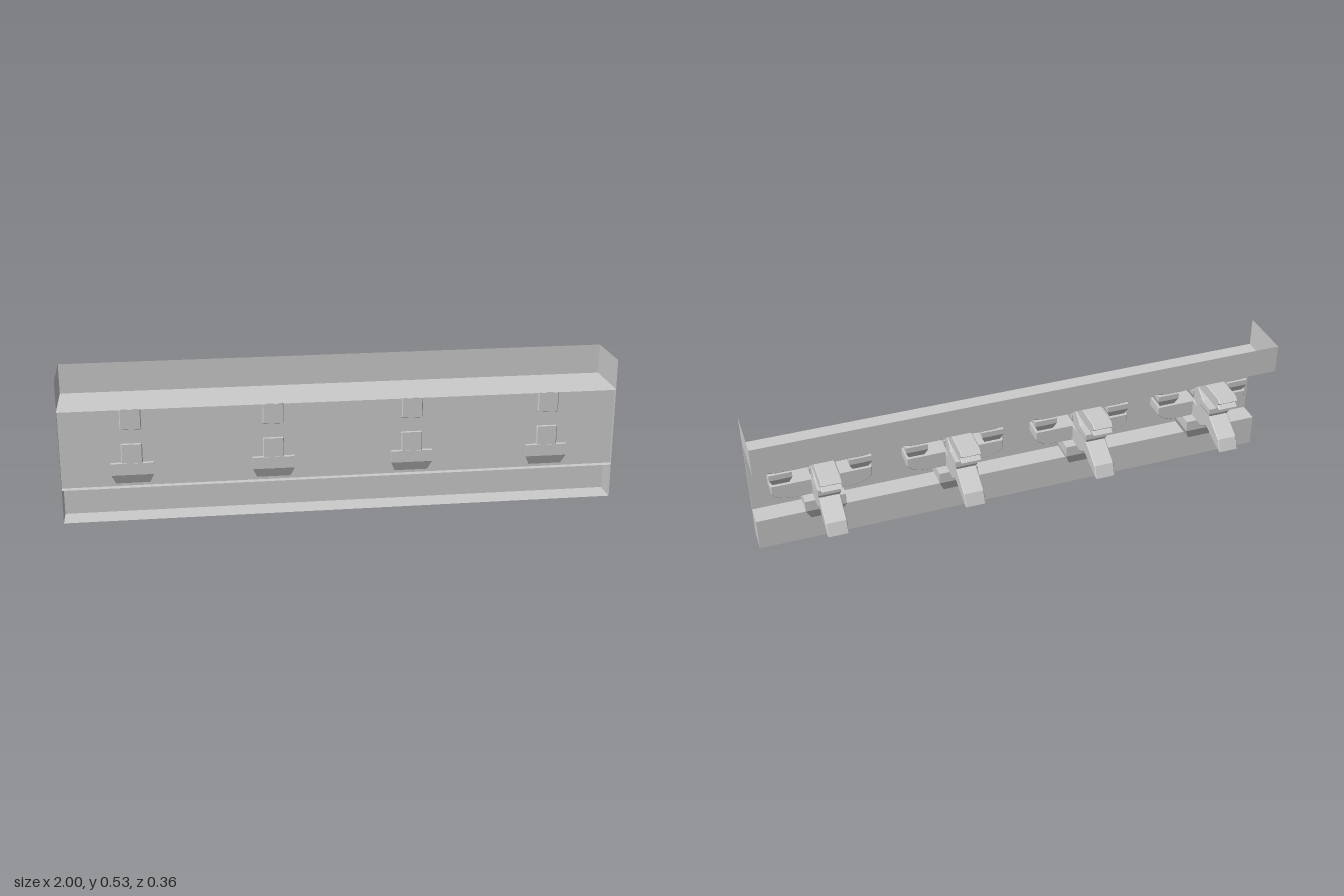
import * as THREE from 'three';

const solid = new THREE.MeshStandardMaterial({ color: 0xcccccc, flatShading: true });
const sheet = new THREE.MeshStandardMaterial({ color: 0xcccccc, flatShading: true, side: THREE.DoubleSide });

function add(parent, name, geometry, material = solid) {
  const mesh = new THREE.Mesh(geometry, material);
  mesh.name = name;
  parent.add(mesh);
  return mesh;
}

// Hollow box between two y and two z limits, without the listed faces (0..5 = +x -x +y -y +z -z)
function openBox(y0, y1, z0, z1, omitted) {
  const g = new THREE.BoxGeometry(2, y1 - y0, z1 - z0);
  g.translate(0, (y0 + y1) / 2, (z0 + z1) / 2);
  const index = Array.from(g.index.array);
  g.setIndex(index.filter((_, i) => !omitted.includes(Math.floor(i / 6))));
  g.clearGroups();
  return g;
}

// Outline extruded to a centred thickness with a fine chamfer
function slab(shape, thickness) {
  const b = 0.003;
  const g = new THREE.ExtrudeGeometry(shape, {
    depth: thickness - 2 * b, bevelEnabled: true, bevelSize: b, bevelOffset: -b,
    bevelThickness: b, bevelSegments: 1, curveSegments: 8,
  });
  return g.translate(0, 0, b - thickness / 2);
}

// Arm running front to back, from (z, y) points
function lengthArm(points) {
  const shape = new THREE.Shape(points.map(([z, y]) => new THREE.Vector2(z, y)));
  return slab(shape, 0.075).rotateY(-Math.PI / 2);
}

// Arm running sideways, with rounded undersides at both ends
function crossArm(half, y0, y1) {
  const s = new THREE.Shape();
  s.moveTo(-half, y1);
  s.lineTo(-half, y0 + 0.035);
  s.quadraticCurveTo(-half + 0.015, y0 + 0.004, -half + 0.075, y0);
  s.lineTo(half - 0.075, y0);
  s.quadraticCurveTo(half - 0.015, y0 + 0.004, half, y0 + 0.035);
  s.lineTo(half, y1);
  return slab(s, 0.076).translate(0, 0, 0.105);
}

// Square bearing block: straight top over a tapered foot
function bearingBlock(parent, name, x, z, half, foot, y0, y1, y2) {
  const block = new THREE.Group();
  block.name = name;
  block.position.set(x, 0, z);
  const taper = new THREE.CylinderGeometry(half * Math.SQRT2, foot * Math.SQRT2, y1 - y0, 4);
  add(block, name + 'Foot', taper.rotateY(Math.PI / 4).translate(0, (y0 + y1) / 2, 0));
  const s = half * 2;
  add(block, name + 'Top', new THREE.BoxGeometry(s, y2 - y1, s).translate(0, (y1 + y2) / 2, 0));
  parent.add(block);
}

function createBracket() {
  const bracket = new THREE.Group();
  bracket.name = 'bracketSet';

  bearingBlock(bracket, 'baseBlock', 0, 0.105, 0.075, 0.055, 0.125, 0.172, 0.215);

  // Lower tier
  add(bracket, 'lowerCrossArm', crossArm(0.185, 0.217, 0.285));
  add(bracket, 'lowerLengthArm', lengthArm([
    [0.178, 0.215], [-0.008, 0.217], [-0.035, 0.23], [-0.053, 0.245], [-0.056, 0.285], [0.178, 0.285],
  ]));

  // Small blocks on the lower tier
  for (const x of [-0.145, 0, 0.145]) {
    bearingBlock(bracket, 'sideBlock', x, 0.105, 0.042, 0.03, 0.285, 0.313, 0.335);
  }
  bearingBlock(bracket, 'outerBlock', 0, -0.036, 0.041, 0.03, 0.285, 0.313, 0.335);

  // Upper tier
  add(bracket, 'upperCrossArm', crossArm(0.23, 0.337, 0.405));
  add(bracket, 'slantingArm', lengthArm([
    [0.177, 0.341], [-0.102, 0.225], [-0.177, 0.204], [-0.159, 0.25],
    [-0.013, 0.336], [0.114, 0.414], [0.177, 0.41],
  ]));
  add(bracket, 'notchedHead', lengthArm([
    [0.178, 0.367], [-0.118, 0.367], [-0.143, 0.376], [-0.128, 0.388],
    [-0.143, 0.401], [-0.128, 0.415], [0.178, 0.415],
  ]));
  return bracket;
}

export function createModel() {
  const model = new THREE.Group();
  model.name = 'bracketFrieze';

  // Hollow beams and the recessed wall panel, open to the front
  add(model, 'topBeam', openBox(0.417, 0.527, -0.03, 0.18, [2, 4]), sheet);
  add(model, 'wallPanel', openBox(0.127, 0.414, 0.165, 0.18, [4]), sheet);
  add(model, 'bottomBeam', openBox(0, 0.124, 0.091, 0.18, [4]), sheet);

  // Four evenly spaced bracket sets
  for (let i = 0; i < 4; i++) {
    const bracket = createBracket();
    bracket.position.x = -0.75 + i * 0.5;
    model.add(bracket);
  }
  return model;
}
